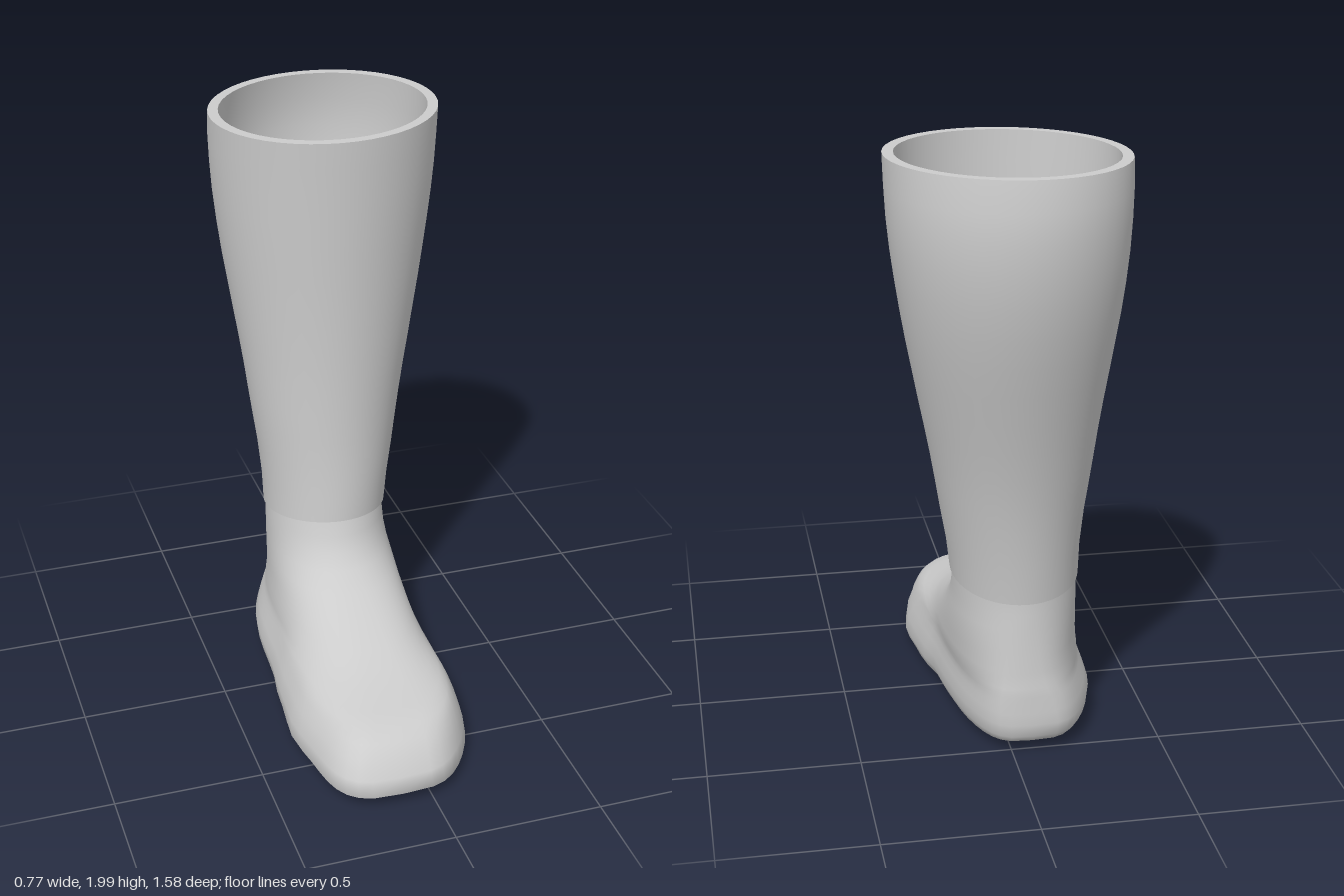
import * as THREE from 'three';

const SEG = 48;
const { lerp, smoothstep } = THREE.MathUtils;

// Piecewise-linear lookup through [x, value...] rows
function lookup(rows, x, k) {
  if (x <= rows[0][0]) return rows[0][k];
  for (let i = 1; i < rows.length; i++) {
    const a = rows[i - 1], b = rows[i];
    if (x <= b[0]) return lerp(a[k], b[k], smoothstep(x, a[0], b[0]));
  }
  return rows[rows.length - 1][k];
}

// Foot plan along z: width factor of the +x side and of the -x side
const PLAN = [
  [-0.55, 0.76, 0.8], [-0.25, 0.79, 0.88], [0, 0.81, 0.86],
  [0.2, 0.91, 0.92], [0.4, 1, 1], [0.8, 1, 1],
];

// Foot rings: y, back z, front z, min x, max x, plan strength, roundness power
const FOOT = [
  [0.008, -0.47, 0.68, -0.345, 0.215, 1.3, 0.55],
  [0.02, -0.52, 0.75, -0.365, 0.235, 1.25, 0.55],
  [0.05, -0.545, 0.79, -0.378, 0.243, 1.15, 0.55],
  [0.1, -0.55, 0.77, -0.375, 0.238, 1, 0.55],
  [0.15, -0.548, 0.735, -0.355, 0.225, 0.95, 0.55],
  [0.19, -0.546, 0.70, -0.335, 0.212, 0.85, 0.56],
  [0.215, -0.545, 0.655, -0.322, 0.205, 0.75, 0.6],
  [0.23, -0.544, 0.58, -0.312, 0.2, 0.65, 0.63],
  [0.248, -0.542, 0.49, -0.303, 0.195, 0.55, 0.68],
  [0.27, -0.538, 0.405, -0.295, 0.19, 0.4, 0.73],
  [0.3, -0.535, 0.33, -0.285, 0.185, 0.3, 0.78],
  [0.35, -0.53, 0.22, -0.272, 0.175, 0.15, 0.84],
  [0.4, -0.526, 0.12, -0.263, 0.166, 0, 0.9],
  [0.45, -0.522, 0.048, -0.258, 0.16, 0, 0.95],
  [0.5, -0.519, 0.006, -0.256, 0.156, 0, 1],
  [0.55, -0.515, -0.022, -0.254, 0.156, 0, 1],
  [0.62, -0.515, -0.045, -0.25, 0.155, 0, 1],
];

// Shaft rings: y, back z, front z, min x, max x
const SHAFT = [
  [0.575, -0.525, -0.03, -0.258, 0.165],
  [0.68, -0.538, -0.036, -0.26, 0.178],
  [0.8, -0.56, -0.043, -0.27, 0.2],
  [0.9, -0.58, -0.047, -0.282, 0.217],
  [1.0, -0.603, -0.049, -0.293, 0.235],
  [1.1, -0.63, -0.05, -0.303, 0.255],
  [1.2, -0.658, -0.049, -0.315, 0.276],
  [1.3, -0.688, -0.047, -0.328, 0.296],
  [1.4, -0.717, -0.044, -0.341, 0.316],
  [1.5, -0.744, -0.04, -0.354, 0.334],
  [1.6, -0.766, -0.035, -0.365, 0.35],
  [1.7, -0.781, -0.03, -0.374, 0.364],
  [1.8, -0.787, -0.025, -0.38, 0.374],
  [1.9, -0.782, -0.02, -0.384, 0.379],
  [2.0, -0.762, -0.015, -0.385, 0.381],
];

// One closed ring, running from the front towards +x
function ring([y, zb, zf, x0, x1, plan = 0, p = 1], inset = 0, warp = (v) => v) {
  const c = (x0 + x1) / 2, w = (x1 - x0) / 2 - inset;
  const mid = (zb + zf) / 2, half = (zf - zb) / 2 - inset;
  return Array.from({ length: SEG }, (_, i) => {
    const t = (i / SEG) * Math.PI * 2, s = Math.sin(t);
    const z = mid + half * Math.cos(t);
    const f = lerp(1, lookup(PLAN, z, s > 0 ? 1 : 2), plan);
    const toe = -0.035 * smoothstep(z, 0.5, 0.8);
    const x = c + toe + w * f * Math.sign(s) * Math.abs(s) ** p;
    return warp(new THREE.Vector3(x, y, z));
  });
}

// Skin over successive rings
function loft(name, rings, material) {
  const pos = [], idx = [];
  rings.flat().forEach((v) => pos.push(v.x, v.y, v.z));
  for (let r = 0; r < rings.length - 1; r++) {
    for (let i = 0; i < SEG; i++) {
      const a = r * SEG + i, b = r * SEG + ((i + 1) % SEG);
      idx.push(a, b, b + SEG, a, b + SEG, a + SEG);
    }
  }
  const g = new THREE.BufferGeometry();
  g.setAttribute('position', new THREE.Float32BufferAttribute(pos, 3));
  g.setIndex(idx);
  g.computeVertexNormals();
  const mesh = new THREE.Mesh(g, material);
  mesh.name = name;
  return mesh;
}

export function createModel() {
  const mat = new THREE.MeshStandardMaterial({ color: 0xcccccc });
  const boot = new THREE.Group();
  boot.name = 'boot';

  // The sole lifts gently from the ball to the heel
  const liftHeel = (v) => {
    v.y += 0.028 * smoothstep(-v.z, -0.4, 0.5) * (1 - smoothstep(v.y, 0, 0.25));
    return v;
  };
  // The ankle seam slopes down to the back; the rim dips a little on the -x side
  const shaftWarp = (v) => {
    v.y += 0.13 * (v.z + 0.28) * (1 - smoothstep(v.y, 0.57, 0.8));
    v.y += 0.02 * (v.x - 0.38) * smoothstep(v.y, 1.8, 2);
    return v;
  };

  // Foot and flat sole
  const footRings = FOOT.map((row) => ring(row, 0, liftHeel));
  boot.add(loft('foot', footRings, mat));
  const edge = footRings[0];
  const spine = edge.map((v, i) => {
    const o = edge[(SEG - i) % SEG];
    return new THREE.Vector3((v.x + o.x) / 2, v.y, v.z);
  });
  boot.add(loft('sole', [spine, edge], mat));

  // Shaft, with a small lip over the ankle
  const outer = SHAFT.map((row) => ring(row, 0, shaftWarp));
  const lip = ring(SHAFT[0], 0.02, shaftWarp);
  boot.add(loft('shaft', outer, mat));
  boot.add(loft('ankleSeam', [lip, outer[0]], mat));

  // Lining down to the insole
  const lining = SHAFT.map((row) => ring(row, 0.035, shaftWarp)).reverse();
  const floor = ring([0.08, -0.525, -0.05, -0.25, 0.155], 0.035);
  boot.add(loft('rim', [outer[outer.length - 1], lining[0]], mat));
  boot.add(loft('lining', [...lining, floor], mat));
  const centre = floor.map(() => new THREE.Vector3(-0.05, 0.08, -0.29));
  boot.add(loft('insole', [floor, centre], mat));

  return boot;
}
